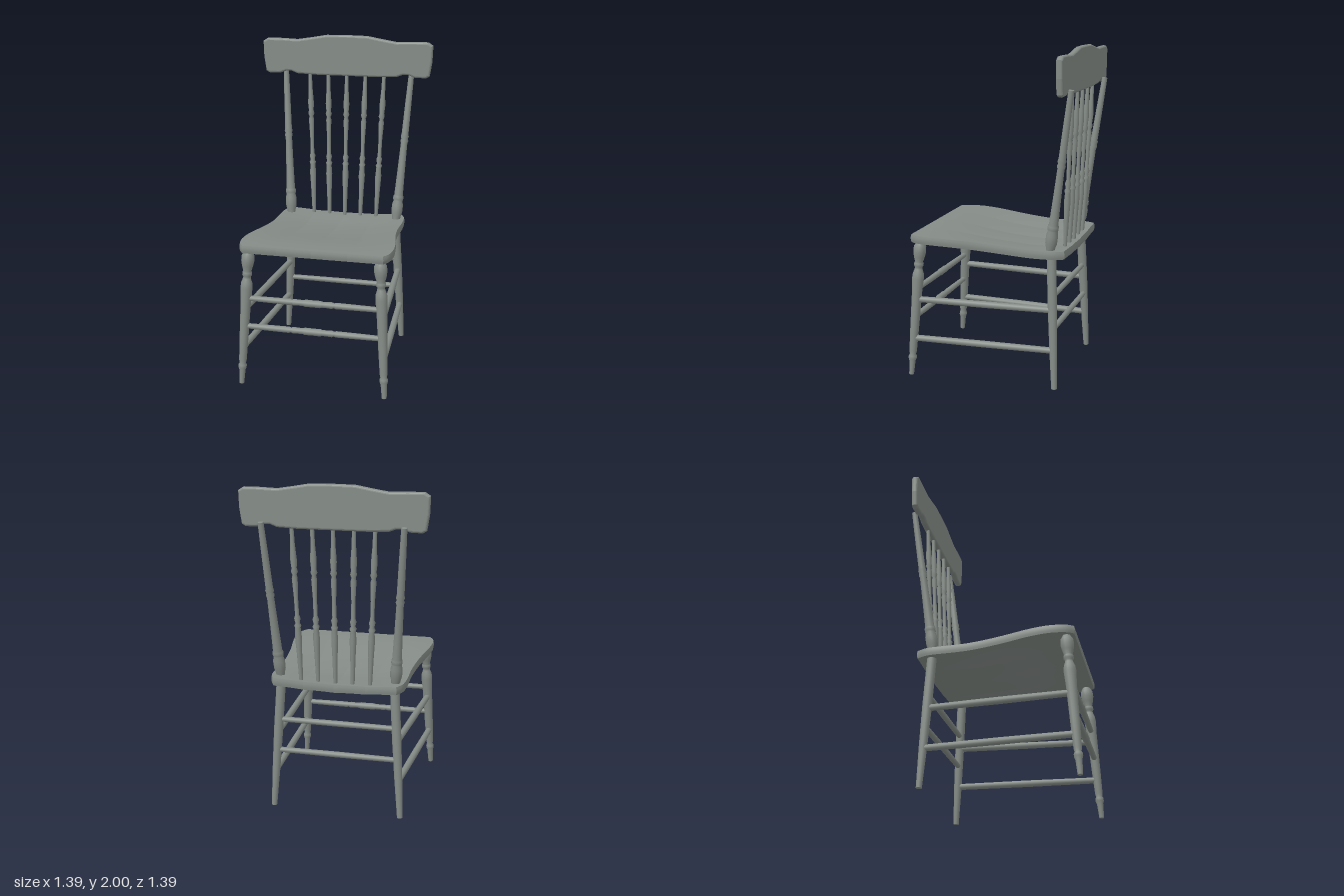
import * as THREE from 'three';
import { mergeGeometries } from 'three/addons/utils/BufferGeometryUtils.js';

const mat = new THREE.MeshStandardMaterial({ color: 0x858c87, side: THREE.DoubleSide });
const UP = new THREE.Vector3(0, 1, 0);

// Lathe-turned rod between two points; profile is [fraction of length, radius]
function turned(name, from, to, profile, sides = 14) {
  const a = new THREE.Vector3(...from), b = new THREE.Vector3(...to);
  const dir = b.clone().sub(a), len = dir.length();
  const pts = profile.map(([t, r]) => new THREE.Vector2(r, t * len));
  const first = pts[0], last = pts[pts.length - 1];
  // Flat ends with a tiny rounded arris
  pts.unshift(new THREE.Vector2(0, first.y - 0.002), new THREE.Vector2(first.x * 0.92, first.y - 0.002));
  pts.push(new THREE.Vector2(last.x * 0.92, last.y + 0.002), new THREE.Vector2(0, last.y + 0.002));
  const mesh = new THREE.Mesh(new THREE.LatheGeometry(pts, sides), mat);
  mesh.name = name;
  mesh.position.copy(a);
  mesh.quaternion.setFromUnitVectors(UP, dir.normalize());
  return mesh;
}

// Surface patch from a rule f(s, t) -> [x, y, z]
function patch(f, ns, nt) {
  const pos = [], idx = [];
  for (let j = 0; j <= nt; j++)
    for (let i = 0; i <= ns; i++) pos.push(...f(i / ns, j / nt));
  for (let j = 0; j < nt; j++)
    for (let i = 0; i < ns; i++) {
      const p = j * (ns + 1) + i, q = p + ns + 1;
      idx.push(p, p + 1, q + 1, p, q + 1, q);
    }
  const g = new THREE.BufferGeometry();
  g.setAttribute('position', new THREE.Float32BufferAttribute(pos, 3));
  g.setIndex(idx);
  g.computeVertexNormals();
  return g;
}

// Seat: waisted outline, dished, made of four faintly crowned strips
function seat() {
  const outline = new THREE.CatmullRomCurve3([
    [0.418, 0.515], [0.443, 0.475], [0.457, 0.39], [0.447, 0.26], [0.419, 0.1],
    [0.402, -0.09], [0.405, -0.25], [0.398, -0.36], [0.37, -0.42],
  ].map(([x, z]) => new THREE.Vector3(x, 0, z)));
  const thick = 0.048, N = 28;
  const edge = Array.from({ length: N + 1 }, (_, i) => outline.getPoint(i / N));
  const dish = [0, 0.022, 0.03, 0.022, 0];
  const top = (k, s, t) => {
    const e = edge[Math.round(t * N)];
    const d = THREE.MathUtils.lerp(dish[k], dish[k + 1], s) - 0.012 * s * (1 - s);
    const y = 0.885 - 0.042 * THREE.MathUtils.smoothstep(0.42 - e.z, 0, 0.68);
    const sag = THREE.MathUtils.smoothstep(0.5 - e.z, 0, 0.5)
      * (1 - 0.5 * THREE.MathUtils.smoothstep(-e.z, 0.15, 0.42));
    return [e.x * ((k + s) / 2 - 1), y - d * sag, e.z];
  };
  const low = (k, s, t) => { const p = top(k, s, t); p[1] -= thick; return p; };
  const rim = (k, s, t, v) => {
    const p = top(k, s, t);
    const bulge = 1 + 0.008 * Math.sin(Math.PI * v);
    return [p[0] * bulge, p[1] - thick * (1 - v), p[2] * bulge];
  };
  const parts = [
    patch((s, v) => rim(3, 1, s, v), N, 4),
    patch((s, v) => rim(0, 0, 1 - s, v), N, 4),
  ];
  for (let k = 0; k < 4; k++)
    parts.push(
      patch((s, t) => top(k, s, t), 6, N),
      patch((s, t) => low(k, 1 - s, t), 6, N),
      patch((s, v) => rim(k, s, 0, v), 6, 4),
      patch((s, v) => rim(k, 1 - s, 1, v), 6, 4),
    );
  const mesh = new THREE.Mesh(mergeGeometries(parts), mat);
  mesh.name = 'seat';
  return mesh;
}

// Crest rail: shaped board with a raised middle and softened edges
function crestRail() {
  const half = [
    [0, 1.99], [0.13, 1.988], [0.22, 1.972], [0.32, 1.956], [0.43, 1.96],
    [0.515, 1.96], [0.538, 1.945], [0.535, 1.85], [0.522, 1.765], [0.505, 1.755],
    [0.44, 1.757], [0.4, 1.772], [0.36, 1.772], [0.32, 1.757], [0.2, 1.752], [0, 1.752],
  ];
  const right = half.map(([x, y]) => new THREE.Vector2(x, y));
  const left = half.slice(1, -1).reverse().map(([x, y]) => new THREE.Vector2(-x, y));
  const g = new THREE.ExtrudeGeometry(new THREE.Shape([...right, ...left]), {
    depth: 0.01, bevelThickness: 0.015, bevelSize: 0.014, bevelOffset: -0.004, bevelSegments: 4,
  });
  const mesh = new THREE.Mesh(g, mat);
  mesh.name = 'crestRail';
  mesh.position.z = -0.432;
  return mesh;
}

const FRONT_LEG = [
  [0, 0.015], [0.1, 0.019], [0.12, 0.025], [0.14, 0.025], [0.155, 0.019], [0.175, 0.023], [0.35, 0.027],
  [0.62, 0.031], [0.72, 0.036], [0.76, 0.033], [0.79, 0.024], [0.805, 0.022], [0.815, 0.029],
  [0.835, 0.029], [0.845, 0.024], [0.88, 0.033], [0.92, 0.039], [0.96, 0.037], [0.985, 0.025], [1, 0.02],
];
const BACK_LEG = [[0, 0.017], [0.3, 0.024], [0.6, 0.028], [1, 0.028]];
const POST = [
  [0, 0.026], [0.03, 0.027], [0.06, 0.035], [0.11, 0.036], [0.14, 0.029], [0.15, 0.033],
  [0.17, 0.033], [0.18, 0.028], [0.35, 0.024], [0.53, 0.021], [0.545, 0.026], [0.56, 0.021],
  [0.575, 0.026], [0.59, 0.022], [0.8, 0.02], [1, 0.017],
];
const SPINDLE = [
  [0, 0.011], [0.2, 0.016], [0.3, 0.02], [0.36, 0.016], [0.375, 0.021], [0.39, 0.013],
  [0.42, 0.019], [0.44, 0.012], [0.55, 0.012], [0.67, 0.017], [0.69, 0.012], [0.71, 0.02],
  [0.73, 0.015], [0.78, 0.019], [0.88, 0.013], [1, 0.011],
];
const SIDE_BAR = [[0, 0.019], [0.5, 0.021], [1, 0.019]];
const BACK_BAR = [[0, 0.016], [0.5, 0.018], [1, 0.016]];
const FRONT_BAR = [
  [0, 0.016], [0.2, 0.018], [0.33, 0.019], [0.345, 0.015], [0.36, 0.02], [0.4, 0.018],
  [0.43, 0.018], [0.445, 0.022], [0.5, 0.021], [0.555, 0.022], [0.57, 0.018], [0.6, 0.018],
  [0.64, 0.02], [0.655, 0.015], [0.67, 0.019], [0.8, 0.018], [1, 0.016],
];

// Leg centre lines at height y, leaning out toward the floor
const LEG_TOP = 0.835;
const frontAt = (side, y) => [side * (0.441 - 0.045 * y / LEG_TOP), y, 0.525 - 0.058 * y / LEG_TOP];
const backAt = (side, y) => [side * (0.395 - 0.05 * y / LEG_TOP), y, -0.375 + 0.038 * y / LEG_TOP];

export function createModel() {
  const chair = new THREE.Group();
  chair.name = 'chair';
  chair.add(seat(), crestRail());

  // Legs, back posts and side stretchers
  for (const [side, label] of [[1, 'left'], [-1, 'right']]) {
    chair.add(
      turned(label + 'FrontLeg', frontAt(side, 0.002), frontAt(side, LEG_TOP + 0.01), FRONT_LEG),
      turned(label + 'BackLeg', backAt(side, 0.002), backAt(side, LEG_TOP - 0.01), BACK_LEG),
      turned(label + 'BackPost', [side * 0.35, 0.825, -0.33], [side * 0.411, 1.775, -0.462], POST),
    );
    for (const y of [0.235, 0.48])
      chair.add(turned(label + 'SideStretcher', frontAt(side, y), backAt(side, y), SIDE_BAR, 12));
  }

  // Front and back stretchers
  for (const y of [0.37, 0.545])
    chair.add(turned('frontStretcher', frontAt(-1, y), frontAt(1, y), FRONT_BAR, 12));
  for (const y of [0.365, 0.56])
    chair.add(turned('backStretcher', backAt(-1, y), backAt(1, y), BACK_BAR, 12));

  // Fan of back spindles
  for (let i = -2; i <= 2; i++)
    chair.add(turned('spindle', [i * 0.104, 0.81, -0.382], [i * 0.121, 1.77, -0.425], SPINDLE, 10));

  // The chair stands turned on the floor
  chair.rotation.y = -0.669;
  chair.position.set(-0.006, 0, -0.007);
  const model = new THREE.Group();
  model.add(chair);
  return model;
}
